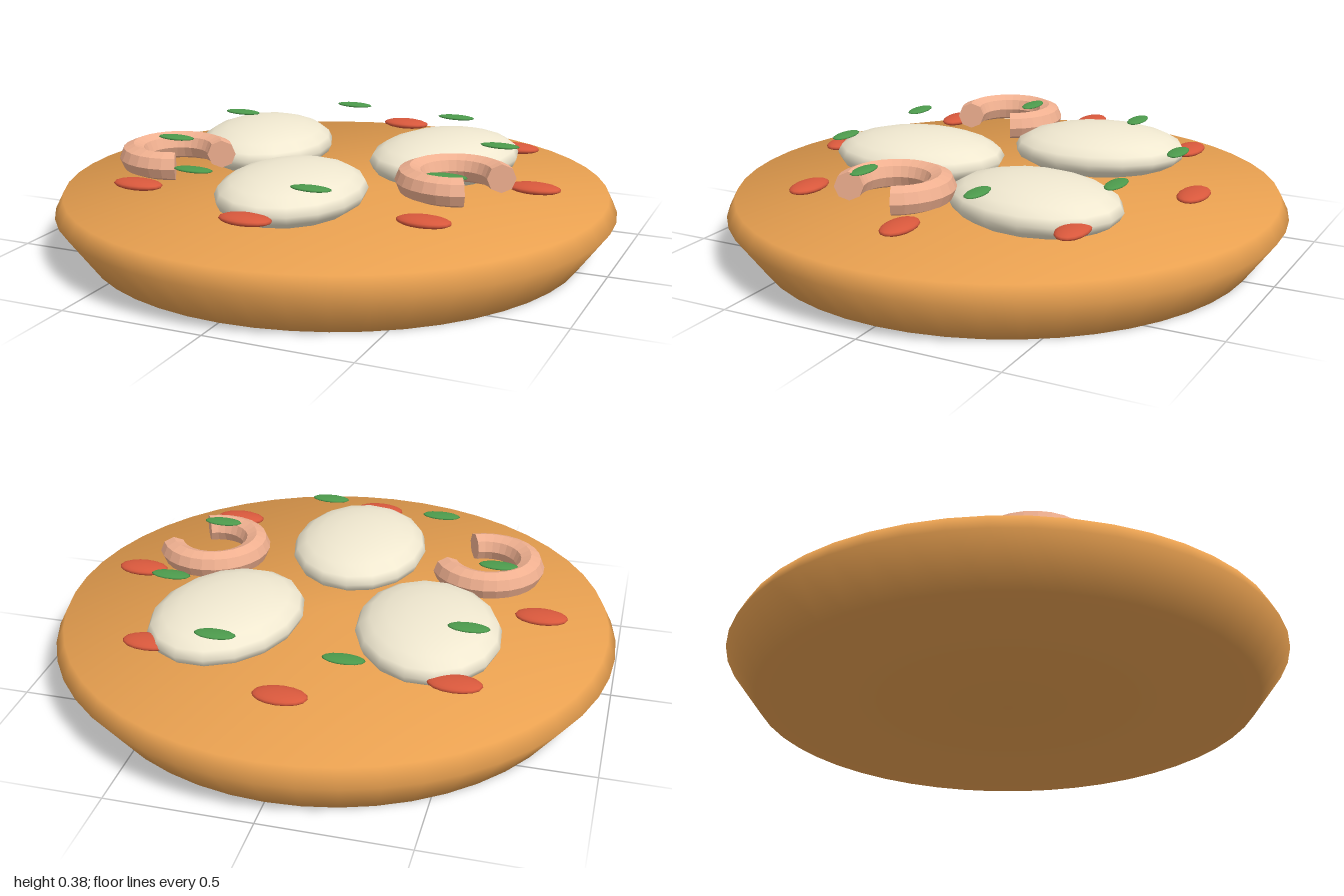
import * as THREE from 'three';
import { mergeGeometries } from 'three/addons/utils/BufferGeometryUtils.js';

const mat = (color, extra = {}) => new THREE.MeshStandardMaterial({ color, ...extra });

// Lathed disc whose normals blend evenly across every profile corner
function softLathe(profile, segments) {
  const points = profile.map(([x, y]) => new THREE.Vector2(x, y));
  const geometry = new THREE.LatheGeometry(points, segments);
  const faces = points.slice(1).map((p, i) => {
    const d = p.clone().sub(points[i]).normalize();
    return new THREE.Vector2(d.y, -d.x);
  });
  const normals = points.map((p, i) => {
    const a = faces[Math.max(i - 1, 0)], b = faces[Math.min(i, faces.length - 1)];
    return a.clone().add(b).normalize();
  });
  for (let s = 0; s <= segments; s++) {
    const phi = (s / segments) * Math.PI * 2;
    normals.forEach((n, j) => geometry.attributes.normal.setXYZ(
      s * points.length + j, n.x * Math.sin(phi), n.y, n.x * Math.cos(phi)));
  }
  return geometry;
}

// Open ring lying flat, closed by a disc at each end
function shrimpGeometry() {
  const R = 0.155, r = 0.05, arc = Math.PI * 1.5;
  const ring = new THREE.TorusGeometry(R, r, 8, 20, arc);
  const startCap = new THREE.CircleGeometry(r, 8).rotateX(Math.PI / 2).translate(R, 0, 0);
  const endCap = new THREE.CircleGeometry(r, 8).rotateX(-Math.PI / 2).translate(R, 0, 0).rotateZ(arc);
  return mergeGeometries([ring, startCap, endCap])
    .rotateZ(THREE.MathUtils.degToRad(63)).rotateX(Math.PI / 2);
}

export function createModel() {
  const model = new THREE.Group();

  function add(name, geometry, material, x, y, z, turn = 0) {
    const mesh = new THREE.Mesh(geometry, material);
    mesh.name = name;
    mesh.position.set(x, y, z);
    mesh.rotation.y = turn;
    model.add(mesh);
  }

  // Round crust with a bevelled rim
  const crust = softLathe([[0, 0], [0.89, 0], [1, 0.15], [0.97, 0.21], [0, 0.21]], 48);
  add('crust', crust, mat(0xe8a050), 0, 0, 0);

  // Melted cheese mounds
  const cheese = new THREE.SphereGeometry(1, 16, 10).scale(0.25, 0.09, 0.322);
  const cheeseMat = mat(0xf0e8d0);
  [[0, 0.365, 0.08], [-0.375, -0.195, 0.25], [0.32, -0.267, -0.25]].forEach(([x, z, turn], i) =>
    add(`cheese${i + 1}`, cheese, cheeseMat, x, 0.283, z, turn));

  // Curled shrimp
  const shrimp = shrimpGeometry();
  const shrimpMat = mat(0xf0b090, { flatShading: true });
  add('shrimpLeft', shrimp, shrimpMat, 0.507, 0.325, 0.157);
  add('shrimpRight', shrimp, shrimpMat, -0.505, 0.325, 0.253);

  // Ring of tomato pieces
  const tomato = new THREE.SphereGeometry(1, 16, 10).scale(0.092, 0.018, 0.052);
  const tomatoMat = mat(0xd8583c);
  for (let i = 0; i < 8; i++) {
    const a = (i / 8) * Math.PI * 2;
    add(`tomato${i + 1}`, tomato, tomatoMat, Math.cos(a) * 0.735, 0.28, Math.sin(a) * 0.705);
  }

  // Scattered herb leaves
  const leaf = new THREE.SphereGeometry(1, 14, 8).scale(0.072, 0.008, 0.032);
  const leafMat = mat(0x4c9a4c);
  [[-0.175, -0.58], [-0.525, -0.285], [0.27, -0.535], [0.555, -0.18],
    [-0.555, 0.177], [0.515, 0.275], [-0.28, 0.535], [0.17, 0.58]].forEach(([x, z], i) =>
    add(`herbLeaf${i + 1}`, leaf, leafMat, x, 0.367, z));

  return model;
}
